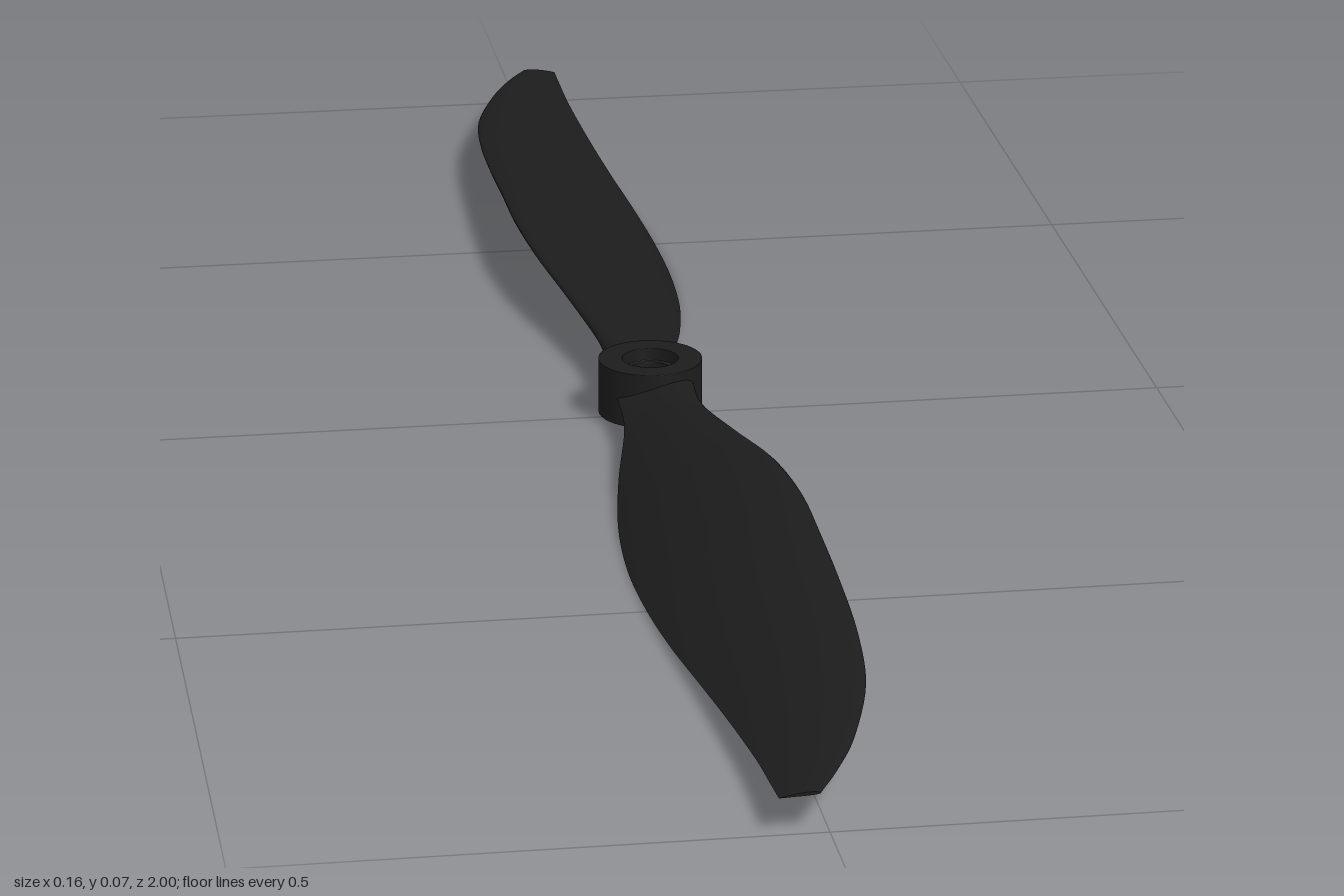
import * as THREE from 'three';

const material = new THREE.MeshStandardMaterial({ color: 0x1c1c1c });

// Blade stations: z, leading x/y, trailing x/y, thickness and camber (fractions of chord)
const stations = [
  [0.03, 0.037, 0.041, -0.037, 0.031, 0.3, 0.0],
  [0.10, 0.036, 0.043, -0.040, 0.025, 0.24, 0.02],
  [0.20, 0.052, 0.053, -0.060, 0.012, 0.15, 0.04],
  [0.30, 0.070, 0.063, -0.075, 0.003, 0.11, 0.05],
  [0.40, 0.079, 0.066, -0.081, 0.0, 0.10, 0.05],
  [0.50, 0.080, 0.063, -0.079, 0.002, 0.095, 0.05],
  [0.60, 0.080, 0.057, -0.072, 0.006, 0.09, 0.05],
  [0.70, 0.077, 0.051, -0.062, 0.012, 0.09, 0.05],
  [0.80, 0.066, 0.045, -0.053, 0.019, 0.09, 0.05],
  [0.90, 0.038, 0.040, -0.046, 0.026, 0.09, 0.04],
  [0.96, 0.013, 0.038, -0.044, 0.030, 0.09, 0.03],
  [1.00, -0.008, 0.036, -0.043, 0.033, 0.09, 0.02],
];

// Half thickness of an airfoil at chord fraction c (0 = rounded leading edge)
const halfThickness = (c) =>
  5 * (0.2969 * Math.sqrt(c) - 0.126 * c - 0.3516 * c ** 2 + 0.2843 * c ** 3 - 0.1036 * c ** 4);

// Blade lofted from airfoil sections along +z
function bladeGeometry(rows = 66, n = 36) {
  const curve = (a, b) =>
    new THREE.CatmullRomCurve3(stations.map((s) => new THREE.Vector3(s[a], s[b], s[0])), false, 'catmullrom', 0.5);
  const lead = curve(1, 2), trail = curve(3, 4), form = curve(5, 6);
  const pos = [], index = [];

  for (let i = 0; i <= rows; i++) {
    const L = lead.getPoint(i / rows), T = trail.getPoint(i / rows), F = form.getPoint(i / rows);
    const dx = T.x - L.x, dy = T.y - L.y;
    // Trailing edge, over the top, round the nose and back underneath
    for (let j = 0; j <= n; j++) {
      const c = (1 + Math.cos((j / n) * Math.PI * 2)) / 2;
      const side = j <= n / 2 ? 1 : -1;
      const h = F.y * 4 * c * (1 - c) + side * F.x * Math.max(0, halfThickness(c));
      pos.push(L.x + dx * c + dy * h, L.y + dy * c - dx * h, L.z);
    }
  }
  const w = n + 1;
  for (let i = 0; i < rows; i++) {
    for (let j = 0; j < n; j++) {
      const a = i * w + j, b = a + 1, d = a + w, c = d + 1;
      index.push(a, d, c, a, c, b);
    }
  }
  // Flat tip cap with its own vertices for a sharp edge
  const first = pos.length / 3;
  pos.push(...pos.slice(rows * w * 3));
  const l = lead.getPoint(1), t = trail.getPoint(1);
  pos.push((l.x + t.x) / 2, (l.y + t.y) / 2, 1);
  for (let j = 0; j < n; j++) index.push(first + w, first + j + 1, first + j);

  const g = new THREE.BufferGeometry();
  g.setAttribute('position', new THREE.Float32BufferAttribute(pos, 3));
  g.setIndex(index);
  g.computeVertexNormals();
  return g;
}

// Hub ring with a through bore and a shallow wider recess on top
function hubGeometry() {
  const corners = [
    [0.021, 0.004], [0.05, 0.004], [0.05, 0.058], [0.027, 0.058], [0.027, 0.046], [0.021, 0.046], [0.021, 0.004],
  ];
  // Closely doubled corners keep the edges crisp
  const profile = [];
  corners.forEach(([x, y], i) => {
    const p = new THREE.Vector2(x, y);
    const near = (k) => {
      const q = new THREE.Vector2(...corners[k]).sub(p).setLength(0.0004);
      return q.add(p);
    };
    if (i > 0) profile.push(near(i - 1));
    profile.push(p);
    if (i < corners.length - 1) profile.push(near(i + 1));
  });
  return new THREE.LatheGeometry(profile, 64);
}

export function createModel() {
  const group = new THREE.Group();
  group.name = 'propeller';

  const hub = new THREE.Mesh(hubGeometry(), material);
  hub.name = 'hub';
  group.add(hub);

  // Two identical blades, half a turn apart
  const geometry = bladeGeometry();
  ['frontBlade', 'backBlade'].forEach((name, i) => {
    const blade = new THREE.Mesh(geometry, material);
    blade.name = name;
    blade.rotation.y = i * Math.PI;
    group.add(blade);
  });
  return group;
}
